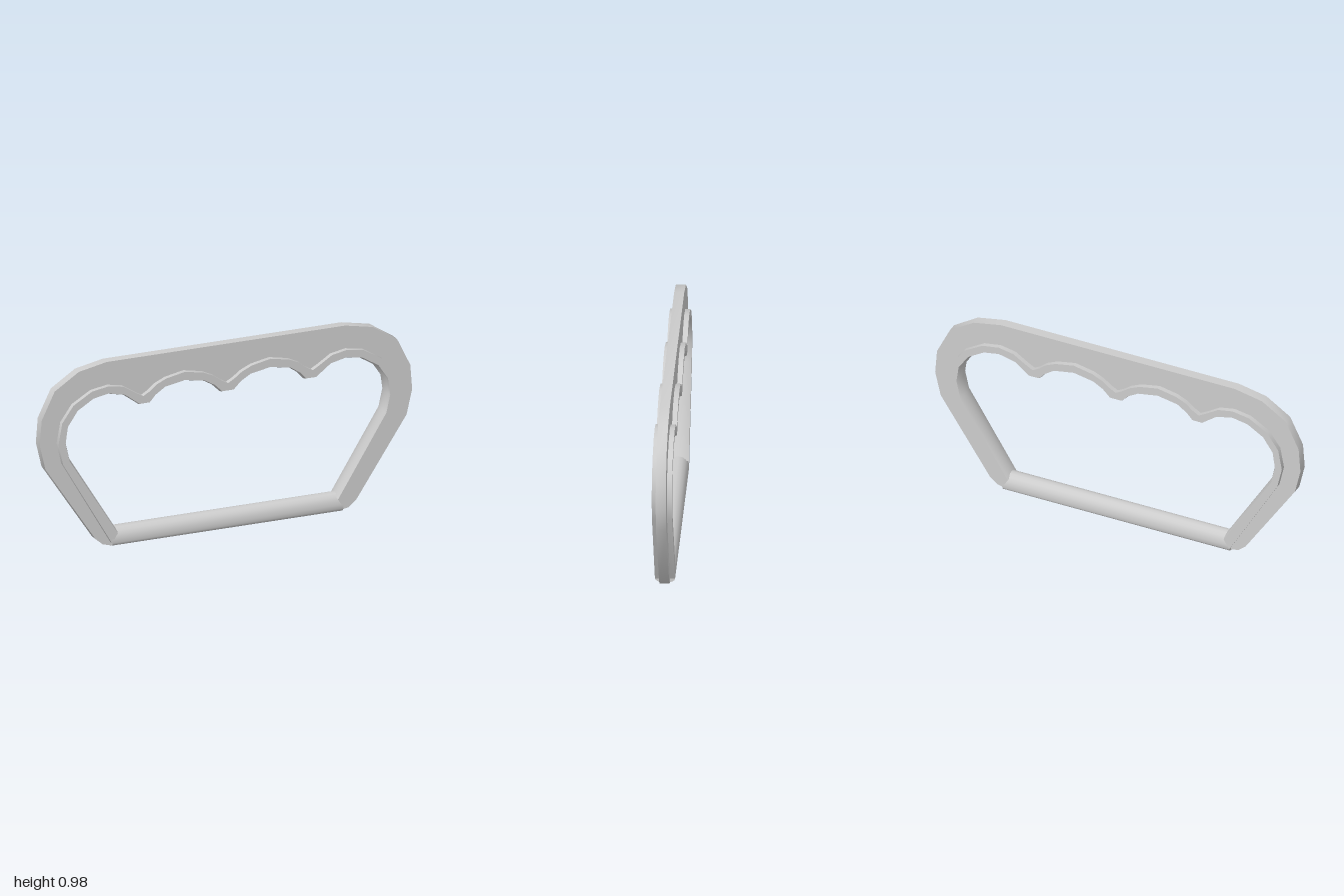
import * as THREE from 'three';
import { toCreasedNormals } from 'three/addons/utils/BufferGeometryUtils.js';

const material = new THREE.MeshStandardMaterial({ color: 0xcccccc });

// Right half of the plate's outline, from the top down
const PLATE = [[0.64, 0.98], [0.79, 0.95], [0.92, 0.865], [0.99, 0.72], [1, 0.59],
  [0.97, 0.46], [0.7, 0.05], [0.66, 0.016], [0.62, 0.008]];

// Right half of the grip rim: outer x, y and inner x, y at each station
const RIM = [
  [0.035, 0.8, 0.03, 0.73], [0.075, 0.83, 0.07, 0.77], [0.13, 0.855, 0.12, 0.8],
  [0.23, 0.875, 0.23, 0.82], [0.33, 0.855, 0.34, 0.8], [0.385, 0.83, 0.39, 0.765],
  [0.42, 0.8, 0.42, 0.73], [0.455, 0.78, 0.445, 0.73], [0.49, 0.8, 0.47, 0.73],
  [0.56, 0.845, 0.55, 0.79], [0.64, 0.86, 0.64, 0.81], [0.73, 0.845, 0.72, 0.795],
  [0.83, 0.785, 0.8, 0.745], [0.89, 0.7, 0.85, 0.67], [0.91, 0.59, 0.86, 0.59],
  [0.885, 0.48, 0.84, 0.5], [0.622, 0.025, 0.585, 0.085]];

// Whole rim, running from the lower left over the top to the lower right
const stations = [...RIM.map(([a, b, c, d]) => [-a, b, -c, d]).reverse(),
  [0, 0.78, 0, 0.73], ...RIM];

const toPoints = (list) => list.map(([x, y]) => new THREE.Vector2(x, y));

function addMesh(group, name, geometry, crease) {
  const mesh = new THREE.Mesh(toCreasedNormals(geometry, crease), material);
  mesh.name = name;
  group.add(mesh);
}

// Thin flat plate whose opening is hidden inside the rim
function plateGeometry() {
  const shape = new THREE.Shape(toPoints([...PLATE,
    ...PLATE.map(([x, y]) => [-x, y]).reverse()]));
  shape.holes.push(new THREE.Path(toPoints(stations.map(
    ([a, b, c, d]) => [(a + c) / 2, (b + d) / 2]))));
  return new THREE.ExtrudeGeometry(shape, { depth: 0.05, bevelEnabled: false })
    .translate(0, 0, -0.025);
}

// Thicker rim swept along the finger scallops, its inner wall slightly crowned
function rimGeometry() {
  const half = 0.05, crown = 0.012, steps = 8, count = steps + 3;
  const positions = [], index = [];
  stations.forEach(([ox, oy, ix, iy], i) => {
    const length = Math.hypot(ox - ix, oy - iy);
    positions.push(ox, oy, half);
    for (let k = 0; k <= steps; k++) {
      const t = 1 - (2 * k) / steps;
      const s = (crown * t * t) / length;
      positions.push(ix + (ox - ix) * s, iy + (oy - iy) * s, half * t);
    }
    positions.push(ox, oy, -half);
    if (i === 0) return;
    for (let j = 0; j < count; j++) {
      const next = (j + 1) % count;
      const a = (i - 1) * count + j, c = (i - 1) * count + next;
      const b = i * count + j, d = i * count + next;
      index.push(a, c, b, b, c, d);
    }
  });
  const geometry = new THREE.BufferGeometry();
  geometry.setAttribute('position', new THREE.Float32BufferAttribute(positions, 3));
  geometry.setIndex(index);
  return geometry;
}

// Lower bar with an arched top and a shallow rounded underside
function barGeometry() {
  const section = [[0, 0], [0.02, 0.002], [0.036, 0.008], [0.046, 0.015], [0.05, 0.025]];
  for (let k = 0; k <= 8; k++) {
    const a = (k / 8) * Math.PI;
    section.push([0.05 * Math.cos(a), 0.045 + 0.055 * Math.sin(a)]);
  }
  section.push([-0.05, 0.025], [-0.046, 0.015], [-0.036, 0.008], [-0.02, 0.002]);
  return new THREE.ExtrudeGeometry(new THREE.Shape(toPoints(section)),
    { depth: 1.24, bevelEnabled: false })
    .translate(0, 0, -0.62).rotateY(Math.PI / 2);
}

export function createModel() {
  const group = new THREE.Group();
  group.name = 'handle';
  addMesh(group, 'plate', plateGeometry(), 0.6);
  addMesh(group, 'gripRim', rimGeometry(), 0.6);
  addMesh(group, 'lowerBar', barGeometry(), 0.7);
  return group;
}
